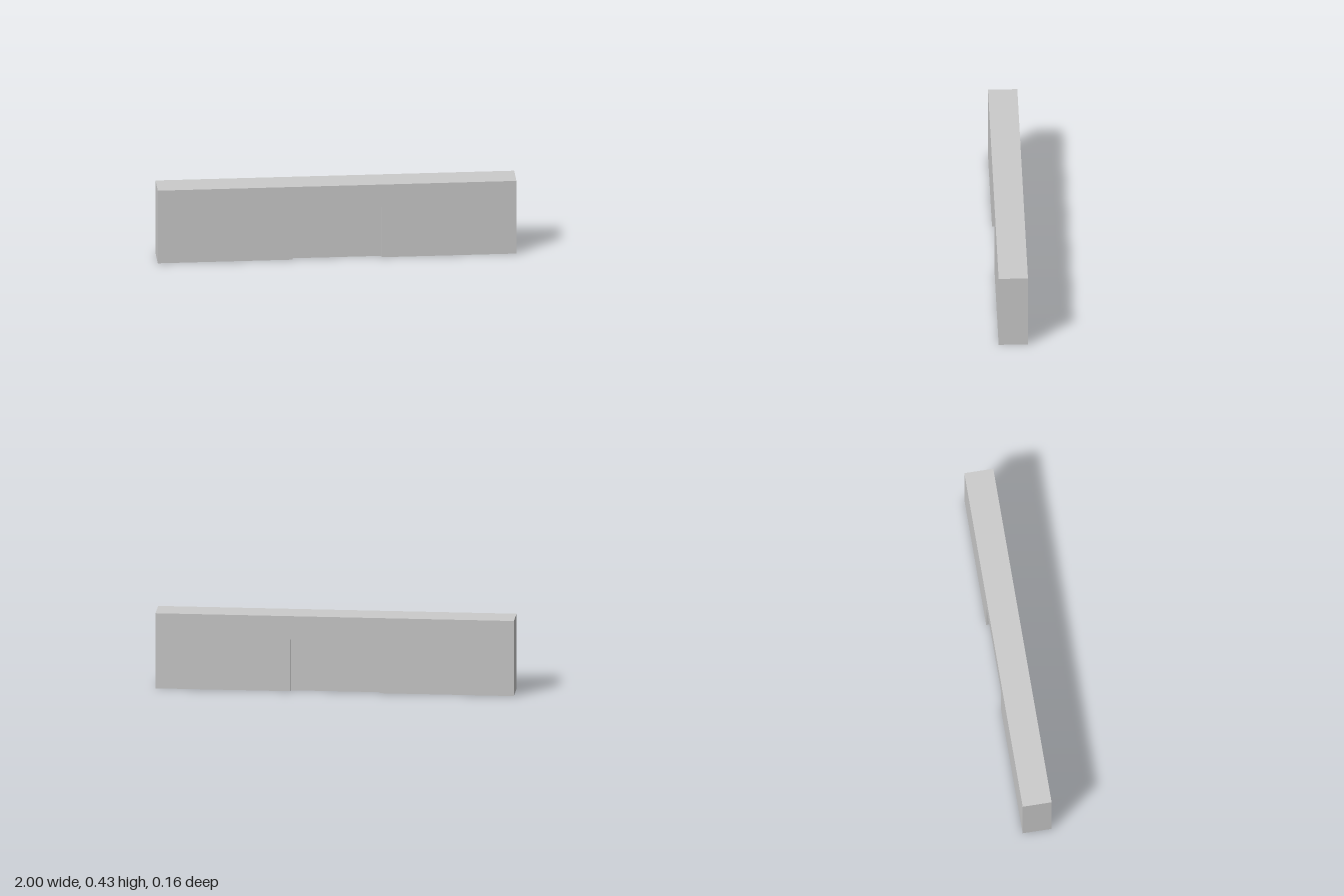
import * as THREE from 'three';

const HALF_LENGTH = 1, HEIGHT = 0.431, HALF_DEPTH = 0.0815;
const RECESS_HALF_WIDTH = 0.249, RECESS_HEIGHT = 0.298, RECESS_DEPTH = 0.022;

export function createModel() {
  const group = new THREE.Group();
  group.name = 'recessedWall';
  const material = new THREE.MeshStandardMaterial({ color: 0xcccccc });

  // Lower wall: floor plan notched at the front and back, extruded upward
  const r = RECESS_HALF_WIDTH, inner = HALF_DEPTH - RECESS_DEPTH;
  const frontEdge = [
    [-HALF_LENGTH, -HALF_DEPTH], [-r, -HALF_DEPTH], [-r, -inner],
    [r, -inner], [r, -HALF_DEPTH], [HALF_LENGTH, -HALF_DEPTH],
  ];
  const backEdge = frontEdge.map(([x, y]) => [-x, -y]);
  const plan = new THREE.Shape(
    [...frontEdge, ...backEdge].map(([x, y]) => new THREE.Vector2(x, y)));
  const lowerGeometry = new THREE.ExtrudeGeometry(plan, { depth: RECESS_HEIGHT, bevelEnabled: false });
  lowerGeometry.rotateX(-Math.PI / 2);
  const lowerWall = new THREE.Mesh(lowerGeometry, material);
  lowerWall.name = 'lowerWall';

  // Upper wall: plain block that closes the top of both recesses
  const upperHeight = HEIGHT - RECESS_HEIGHT;
  const upperWall = new THREE.Mesh(
    new THREE.BoxGeometry(2 * HALF_LENGTH, upperHeight, 2 * HALF_DEPTH), material);
  upperWall.position.y = RECESS_HEIGHT + upperHeight / 2;
  upperWall.name = 'upperWall';

  group.add(lowerWall, upperWall);
  return group;
}
